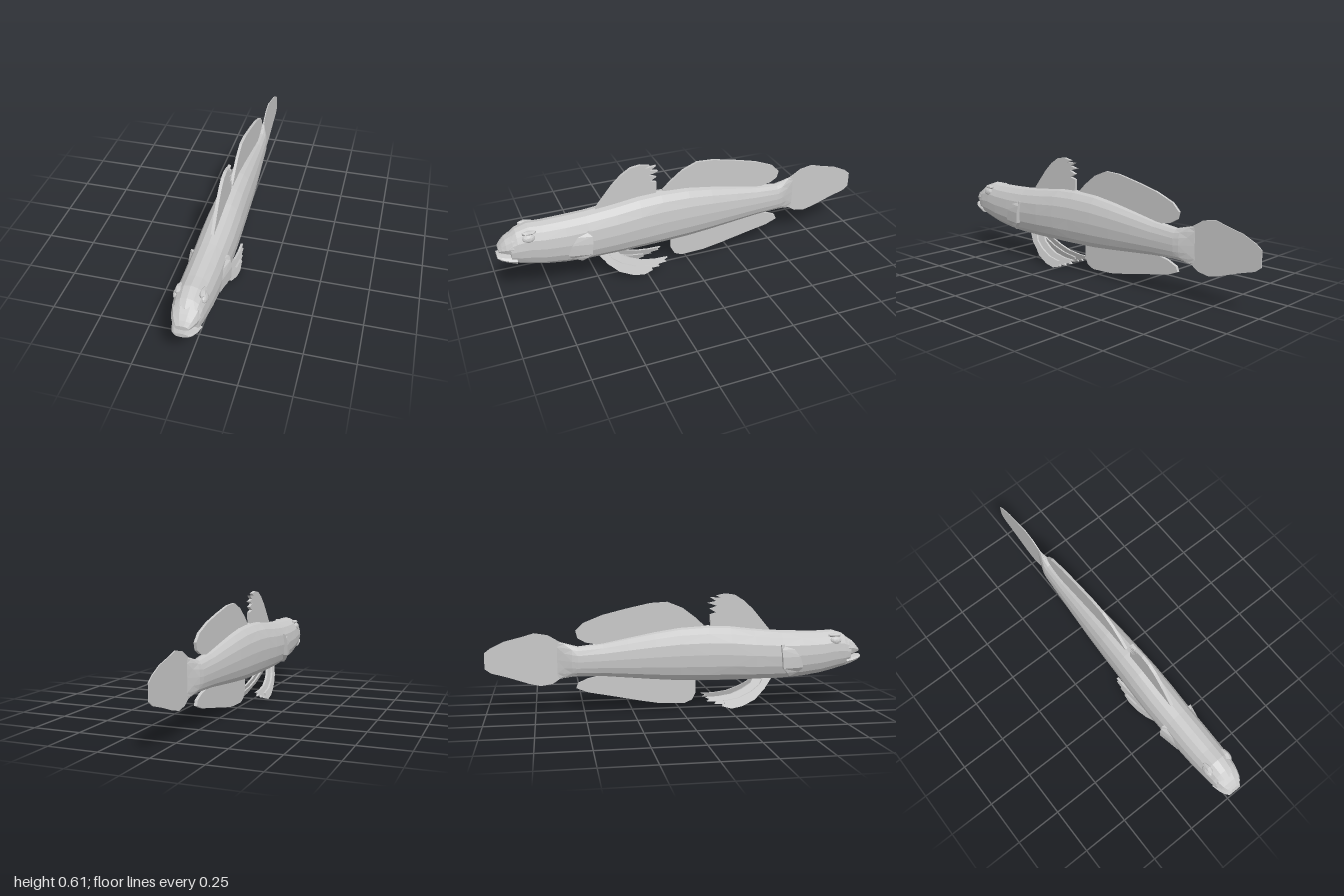
import * as THREE from 'three';

const skinGrey = new THREE.MeshStandardMaterial({ color: 0xc8c8c8, flatShading: true, side: THREE.DoubleSide });
skinGrey.name = 'skin grey';

// Closed skin over rings of points; rings run counterclockwise seen from the first end.
function skin(rings) {
  const n = rings[0].length, pos = [], index = [];
  for (const ring of rings) for (const p of ring) pos.push(...p);
  for (let r = 0; r < rings.length - 1; r++) {
    for (let i = 0; i < n; i++) {
      const a = r * n + i, b = r * n + (i + 1) % n, c = a + n, d = b + n;
      if ((r + i) % 2) index.push(a, c, b, b, c, d);
      else index.push(a, c, d, a, d, b);
    }
  }
  const last = (rings.length - 1) * n;
  for (let i = 1; i < n - 1; i++) {
    index.push(0, i, i + 1);
    index.push(last, last + i + 1, last + i);
  }
  const g = new THREE.BufferGeometry();
  g.setAttribute('position', new THREE.Float32BufferAttribute(pos, 3));
  g.setIndex(index);
  g.computeVertexNormals();
  return g;
}

// Rounded cross-section: broader belly, slightly peaked back.
function section([z, top, bottom, half], sides = 16) {
  const mid = bottom + (top - bottom) * 0.5, h = (top - bottom) / 2;
  return Array.from({ length: sides }, (_, i) => {
    const a = (i / sides) * Math.PI * 2, c = Math.cos(a), s = Math.sin(a);
    const px = s < 0 ? 0.8 : 0.95;
    return [half * Math.sign(c) * Math.abs(c) ** px, mid + h * Math.sign(s) * Math.abs(s) ** 0.9, z];
  });
}

// Flat fin from a side outline of [z, y] points.
function fin(outline, thickness) {
  const shape = new THREE.Shape(outline.map(([z, y]) => new THREE.Vector2(z, y)));
  const g = new THREE.ExtrudeGeometry(shape, { depth: thickness, bevelEnabled: false });
  g.translate(0, 0, -thickness / 2);
  return g.rotateY(-Math.PI / 2);
}

export function createModel() {
  const model = new THREE.Group();
  model.name = 'fish';
  const add = (name, geometry) => {
    const m = new THREE.Mesh(geometry, skinGrey);
    m.name = name;
    model.add(m);
    return m;
  };

  // Body: z, top, bottom, half width
  add('body', skin([
    [0.935, 0.355, 0.218, 0.066],
    [0.9, 0.383, 0.2, 0.074],
    [0.84, 0.402, 0.183, 0.08],
    [0.77, 0.398, 0.166, 0.084],
    [0.66, 0.4, 0.15, 0.087],
    [0.55, 0.404, 0.143, 0.087],
    [0.4, 0.418, 0.142, 0.09],
    [0.27, 0.434, 0.142, 0.088],
    [0.15, 0.438, 0.143, 0.083],
    [0, 0.43, 0.147, 0.077],
    [-0.13, 0.41, 0.157, 0.07],
    [-0.27, 0.383, 0.17, 0.06],
    [-0.4, 0.357, 0.182, 0.05],
    [-0.53, 0.342, 0.186, 0.04],
    [-0.56, 0.35, 0.184, 0.034],
    [-0.6, 0.362, 0.178, 0.018],
    [-0.635, 0.365, 0.18, 0.004],
  ].map((s) => section(s))));

  // Snout and jaw, parted by the mouth
  add('snout', skin([
    [0.99, 0.302, 0.279, 0.032],
    [0.975, 0.322, 0.272, 0.046],
    [0.955, 0.343, 0.263, 0.058],
    [0.925, 0.362, 0.25, 0.068],
    [0.9, 0.37, 0.25, 0.066],
  ].map((s) => section(s, 10))));
  add('lowerJaw', skin([
    [1, 0.267, 0.246, 0.034],
    [0.98, 0.264, 0.234, 0.05],
    [0.95, 0.26, 0.222, 0.061],
    [0.91, 0.262, 0.206, 0.069],
  ].map((s) => section(s, 10))));

  // Fins along the midline
  add('frontDorsalFin', fin([
    [0.5, 0.4], [0.45, 0.46], [0.4, 0.52], [0.35, 0.567], [0.3, 0.598], [0.25, 0.605],
    [0.2, 0.595], [0.225, 0.582], [0.165, 0.587], [0.2, 0.565], [0.155, 0.556],
    [0.205, 0.54], [0.165, 0.525], [0.2, 0.505], [0.165, 0.495], [0.17, 0.42],
  ], 0.016));
  add('rearDorsalFin', fin([
    [0.13, 0.42], [0.13, 0.442], [0.09, 0.48], [0.02, 0.533], [-0.06, 0.565], [-0.15, 0.56],
    [-0.28, 0.532], [-0.4, 0.502], [-0.5, 0.462], [-0.54, 0.422], [-0.53, 0.385],
    [-0.49, 0.362], [-0.43, 0.35], [-0.3, 0.36], [-0.1, 0.395],
  ], 0.014));
  add('analFin', fin([
    [0.09, 0.17], [0.09, 0.08], [0.07, 0.042], [0.03, 0.024], [-0.1, 0.028], [-0.2, 0.045],
    [-0.35, 0.075], [-0.48, 0.1], [-0.54, 0.124], [-0.53, 0.15], [-0.48, 0.172],
    [-0.4, 0.19], [-0.2, 0.18],
  ], 0.016));
  add('tailFin', fin([
    [-0.56, 0.35], [-0.62, 0.367], [-0.68, 0.403], [-0.75, 0.415], [-0.8, 0.4], [-0.9, 0.375],
    [-0.97, 0.342], [-1, 0.318], [-1, 0.237], [-0.97, 0.214], [-0.88, 0.188], [-0.78, 0.154],
    [-0.72, 0.14], [-0.66, 0.15], [-0.62, 0.176], [-0.56, 0.185],
  ], 0.005));

  for (const s of [1, -1]) {
    const side = s > 0 ? 'left' : 'right';

    // Side fin folded against the body: y, front z, rear z, outer x
    add(side + 'PectoralFin', skin([
      [0.335, 0.57, 0.535, 0.094],
      [0.31, 0.64, 0.537, 0.1],
      [0.27, 0.66, 0.54, 0.107],
      [0.21, 0.66, 0.545, 0.105],
      [0.185, 0.64, 0.57, 0.09],
      [0.163, 0.62, 0.59, 0.07],
    ].map(([y, zf, zr, x]) => {
      const ring = [[s * (x - 0.024), y, zf], [s * x, y, zr], [s * (x - 0.045), y, zr]];
      return s > 0 ? ring : ring.reverse();
    })));

    // Ragged belly fins: a thin sheet with a raised front ray, both splayed outward
    const sheet = fin([
      [0.49, 0.155], [0.46, 0.098], [0.4, 0.042], [0.33, 0.011], [0.27, 0], [0.22, 0.014],
      [0.225, 0.026], [0.18, 0.026], [0.19, 0.038], [0.14, 0.042], [0.155, 0.052], [0.13, 0.062],
      [0.2, 0.064], [0.27, 0.074], [0.33, 0.097], [0.38, 0.125], [0.4, 0.155],
    ], 0.012);
    const ray = fin([
      [0.5, 0.155], [0.46, 0.105], [0.4, 0.06], [0.32, 0.032], [0.23, 0.028],
      [0.23, 0.042], [0.31, 0.055], [0.38, 0.085], [0.43, 0.12], [0.45, 0.155],
    ], 0.032);
    for (const [name, g] of [['PelvicFin', sheet], ['PelvicFinRay', ray]]) {
      const p = g.attributes.position;
      for (let i = 0; i < p.count; i++) p.setX(i, p.getX(i) + s * (0.026 + (0.145 - p.getY(i)) * 0.34));
      g.computeVertexNormals();
      add(side + name, g);
    }

    // Eye and its brow
    const eye = add(side + 'Eye', new THREE.IcosahedronGeometry(1, 1).scale(0.014, 0.022, 0.032));
    eye.position.set(s * 0.065, 0.352, 0.845);
    eye.rotation.z = s * 0.4;
    const brow = add(side + 'Brow', new THREE.IcosahedronGeometry(1, 0).scale(0.016, 0.013, 0.04));
    brow.position.set(s * 0.056, 0.376, 0.84);
  }
  return model;
}
